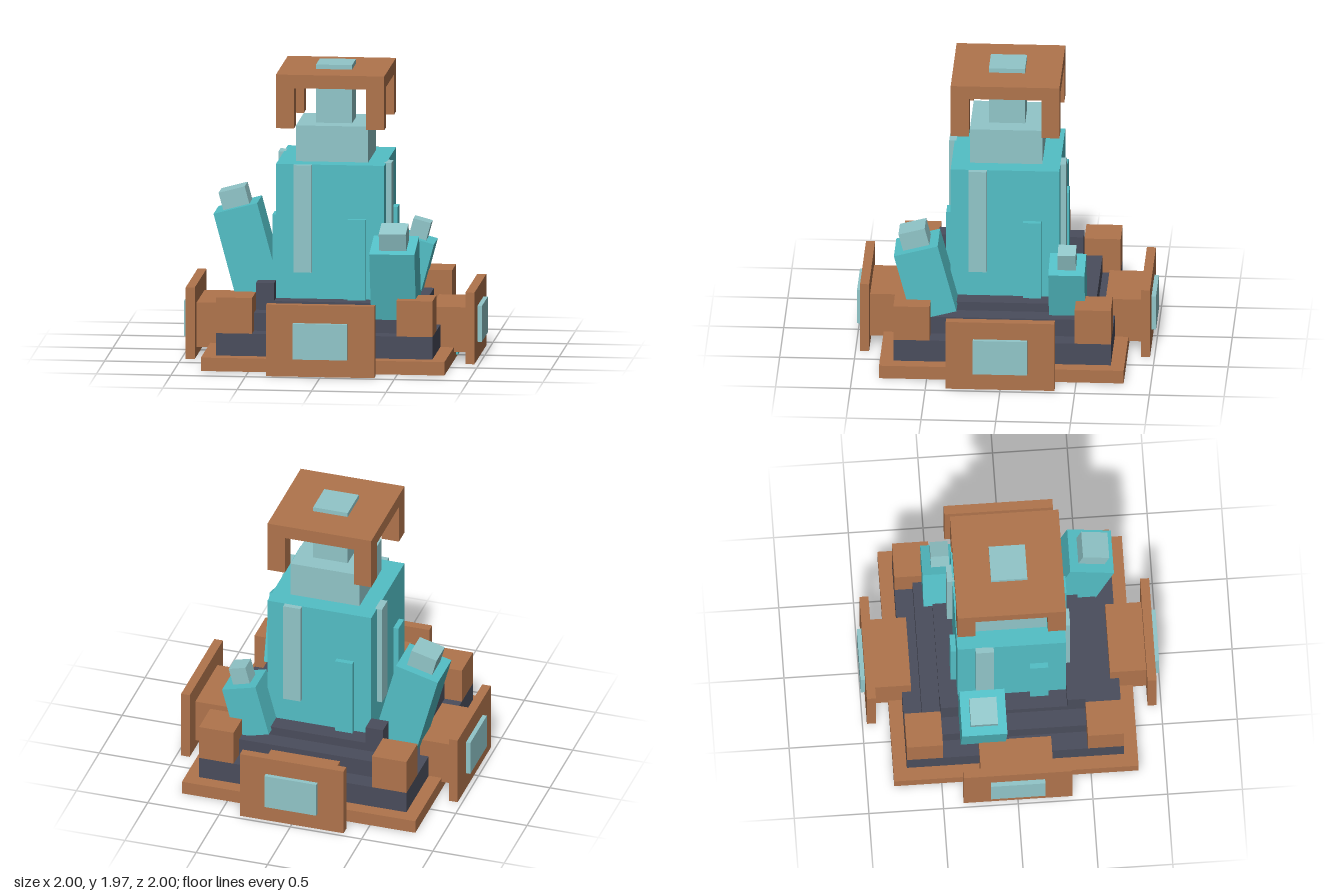
import * as THREE from 'three';

// All sizes are in a small grid unit: 33 grid units = 2 world units
const U = 2 / 33;

const flat = (name, color) => {
  const m = new THREE.MeshStandardMaterial({ color });
  m.name = name;
  return m;
};

export function createModel() {
  const copper = flat('copper', 0xb0744c);
  const teal = flat('teal crystal', 0x53bfc6);
  const pale = flat('pale crystal', 0x91c6c9);
  const slate = flat('dark slate', 0x4a4d5c);

  const model = new THREE.Group();
  model.name = 'crystalMonument';

  // Box from its lower and upper corners
  const box = (parent, name, mat, [x0, y0, z0], [x1, y1, z1]) => {
    const geo = new THREE.BoxGeometry((x1 - x0) * U, (y1 - y0) * U, (z1 - z0) * U);
    const mesh = new THREE.Mesh(geo, mat);
    mesh.position.set(x0 + x1, y0 + y1, z0 + z1).multiplyScalar(U / 2);
    mesh.name = name;
    parent.add(mesh);
    return mesh;
  };
  // Square block centred on the vertical axis
  const block = (name, mat, half, y0, y1, parent = model) =>
    box(parent, name, mat, [-half, y0, -half], [half, y1, half]);

  // Stepped base
  block('basePlate', copper, 13.5, 0, 1.5);
  block('lowerStep', slate, 12, -0.02, 4);
  block('middleStep', slate, 10, 4, 6);
  block('upperStep', slate, 8, 6, 7);
  for (const z of [-7, 7]) box(model, 'smallPost', slate, [-8, 6, z - 1], [-6, 9, z + 1]);

  // Tower and its narrowing top
  block('towerBody', teal, 6, 7, 22);
  block('towerShoulder', pale, 4, 22, 26);
  block('towerTip', pale, 2, 26, 30);

  // Floating cap with four corner legs
  block('capPlate', copper, 6, 30.5, 32);
  block('capInset', pale, 2, 32, 32.5);
  for (const x of [-5, 5])
    for (const z of [-5, 5])
      box(model, 'capLeg', copper, [x - 1, 26, z - 1], [x + 1, 30.5, z + 1]);

  // Everything that repeats on each of the four sides
  for (let i = 0; i < 4; i++) {
    const side = new THREE.Group();
    side.name = 'side' + (i + 1);
    side.rotation.y = (i * Math.PI) / 2;
    box(side, 'cornerBlock', copper, [8, 4, 8], [12, 8, 12]);
    box(side, 'buttress', copper, [-4, 1, 11], [4, 6, 15]);
    box(side, 'shieldPlate', copper, [-6, 0, 15], [6, 8, 16]);
    box(side, 'shieldPanel', pale, [-3, 2, 16], [3, 6, 16.5]);
    box(side, 'baseInlay', teal, [-2, 0.35, 13], [2, 1, 13.75]);
    box(side, 'tallRib', pale, [-4, 10, 5.8], [-2, 22, 6.6]);
    box(side, 'shortRib', teal, [2, 7, 5.8], [4, 16, 6.6]);
    model.add(side);
  }

  // Leaning crystal: shaft with a smaller block on top
  const tilt = THREE.MathUtils.degToRad(15);
  const crystal = (name, pos, width, length, rx, rz) => {
    const g = new THREE.Group();
    g.name = name;
    g.position.set(...pos).multiplyScalar(U);
    g.rotation.set(rx, 0, rz);
    block('crystalShaft', teal, width / 2, -length / 2, length / 2, g);
    block('crystalTip', pale, width / 2 - 1, length / 2, length / 2 + 2, g);
    model.add(g);
  };
  crystal('frontCrystal', [7.5, 9.93, 8.6], 5, 8, tilt, 0);
  crystal('backCrystal', [7.6, 9, -7], 4, 6, 0, -tilt);
  crystal('rightCrystal', [-9.98, 10.86, -3.5], 5, 10, 0, tilt);

  return model;
}
